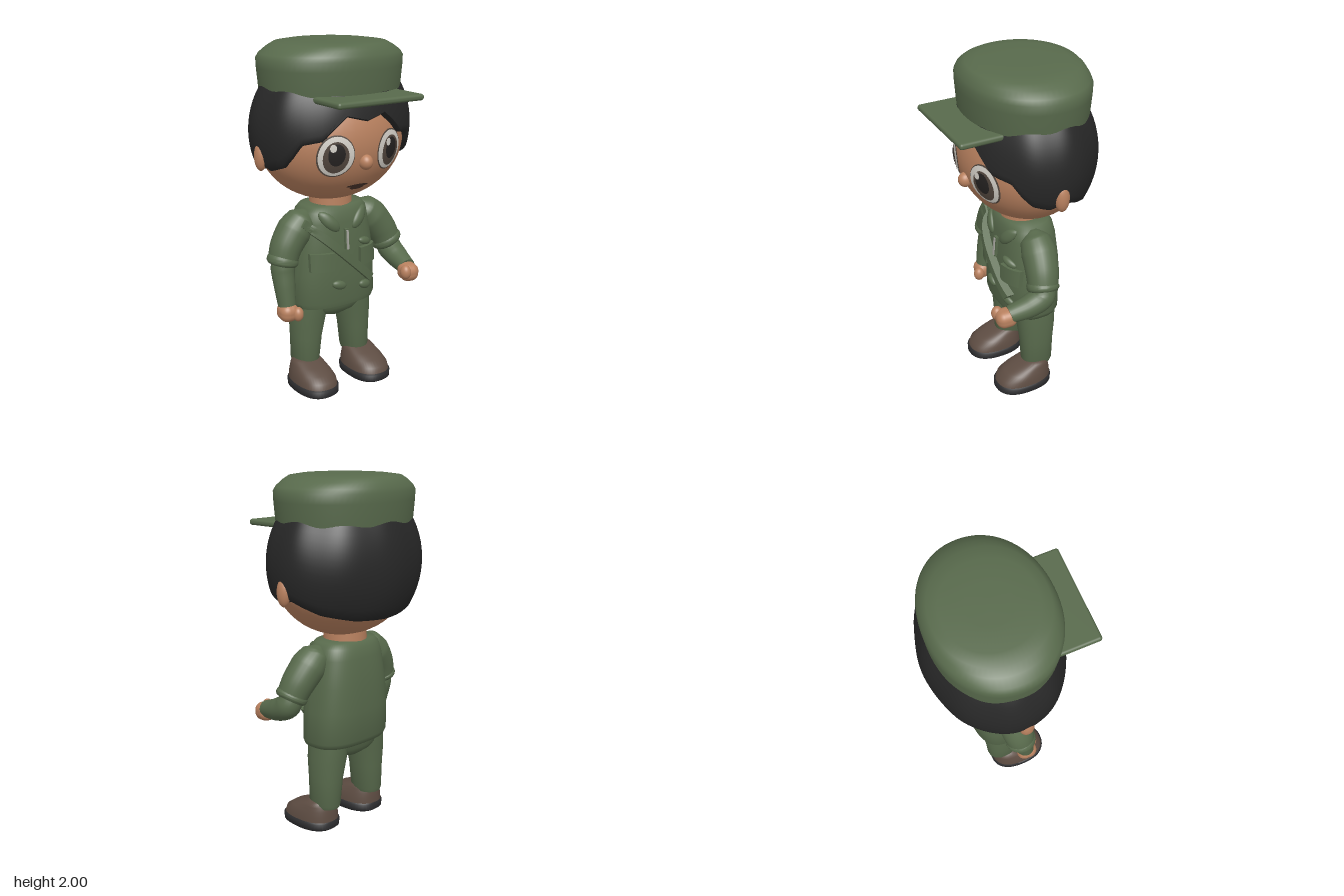
import * as THREE from 'three';
import { toCreasedNormals } from 'three/addons/utils/BufferGeometryUtils.js';
import { RoundedBoxGeometry } from 'three/addons/geometries/RoundedBoxGeometry.js';

const V = (x, y, z) => new THREE.Vector3(x, y, z);
const mat = (name, color) => Object.assign(new THREE.MeshStandardMaterial({ color }), { name });

// Piecewise linear lookup in rows of [key, values...]
function lookup(rows, key) {
  let i = 0;
  while (i < rows.length - 2 && key > rows[i + 1][0]) i++;
  const a = rows[i], b = rows[i + 1];
  const t = THREE.MathUtils.clamp((key - a[0]) / (b[0] - a[0]), 0, 1);
  return a.map((v, k) => v + (b[k] - v) * t);
}

// Skin over closed rings of points, listed from bottom to top
function loft(rings, crease = 0.9) {
  const n = rings[0].length, pos = [], idx = [];
  rings.forEach(r => r.forEach(p => pos.push(p.x, p.y, p.z)));
  for (let i = 0; i < rings.length - 1; i++) for (let j = 0; j < n; j++) {
    const a = i * n + j, b = i * n + (j + 1) % n;
    idx.push(a, b, b + n, a, b + n, a + n);
  }
  const g = new THREE.BufferGeometry();
  g.setAttribute('position', new THREE.Float32BufferAttribute(pos, 3));
  g.setIndex(idx);
  return toCreasedNormals(g, crease);
}

// Horizontal superellipse ring
function ring(cx, y, cz, rx, rz, power = 2, n = 48) {
  const e = 2 / power, f = v => Math.sign(v) * Math.abs(v) ** e;
  return Array.from({ length: n }, (_, j) => {
    const a = j / n * Math.PI * 2;
    return V(cx + rx * f(Math.cos(a)), y, cz - rz * f(Math.sin(a)));
  });
}

// Tapered tube through rows of [x, y, z, radius]
function limb(rows, steps = 24, n = 24) {
  const curve = new THREE.CatmullRomCurve3(rows.map(r => V(r[0], r[1], r[2])));
  const { normals, binormals } = curve.computeFrenetFrames(steps);
  const rings = [];
  for (let i = 0; i <= steps; i++) {
    const t = curve.getUtoTmapping(i / steps), c = curve.getPoint(t);
    const r = lookup(rows.map((q, k) => [k / (rows.length - 1), q[3]]), t)[1];
    rings.push(Array.from({ length: n }, (_, j) => {
      const a = j / n * Math.PI * 2;
      return c.clone().addScaledVector(normals[i], r * Math.cos(a)).addScaledVector(binormals[i], r * Math.sin(a));
    }));
  }
  const end = p => Array(n).fill(p);
  return loft([end(curve.getPoint(0)), ...rings, end(curve.getPoint(1))]);
}

function ball(x, y, z, rx, ry, rz) {
  return new THREE.SphereGeometry(1, 40, 28).scale(rx, ry, rz).translate(x, y, z);
}

// Pushes a flat geometry forward onto a front surface
function wrap(g, surface) {
  const p = g.attributes.position;
  for (let i = 0; i < p.count; i++) p.setZ(i, p.getZ(i) + surface(p.getX(i), p.getY(i)));
  g.computeVertexNormals();
  return g;
}

// Shirt sections: height, half width, half depth, centre z
const SHIRT = [[0.5, 0.255, 0.155, -0.055], [0.53, 0.268, 0.165, -0.058], [0.7, 0.26, 0.17, -0.06],
  [0.85, 0.245, 0.168, -0.06], [1, 0.22, 0.155, -0.058], [1.06, 0.205, 0.142, -0.056], [1.09, 0.18, 0.122, -0.055]];
const shirtZ = (x, y) => {
  const [, rx, rz, cz] = lookup(SHIRT, y);
  return cz + rz * (1 - Math.min(Math.abs(x / rx), 0.93) ** 2.7) ** (1 / 2.7);
};
const headZ = (x, y) => -0.05 + 0.345 * Math.sqrt(Math.max(0, 1 - (x / 0.43) ** 2 - ((y - 1.47) / 0.355) ** 2));

// Lower edge of the hair: degrees from the front, height
const HAIRLINE = [[0, 1.6], [15, 1.63], [24, 1.57], [32, 1.51], [47, 1.49], [55, 1.42], [64, 1.36],
  [80, 1.33], [95, 1.36], [120, 1.29], [150, 1.25], [180, 1.24]];

export function createModel() {
  const root = new THREE.Group();
  const green = mat('uniform green', 0x586a4c), skin = mat('skin', 0xb9815f), black = mat('hair black', 0x272727);
  const brown = mat('shoe brown', 0x5d4c42), dark = mat('sole dark', 0x2d2d2f), white = mat('eye white', 0xd6d2ca);
  const iris = mat('iris brown', 0x54483f), pupil = mat('pupil', 0x262322), lip = mat('mouth brown', 0x4b362d);
  const metal = mat('zip metal', 0xa4a49c);
  const add = (name, g, m, parent = root) => {
    const mesh = new THREE.Mesh(g, m);
    mesh.name = name;
    parent.add(mesh);
    return mesh;
  };

  // Head, nose, ears and neck
  add('head', ball(0, 1.47, -0.05, 0.43, 0.355, 0.345), skin);
  add('nose', ball(0, 1.38, 0.285, 0.038, 0.042, 0.042), skin);
  for (const s of [-1, 1]) add('ear', ball(s * 0.452, 1.405, -0.045, 0.034, 0.078, 0.04), skin);
  add('neck', new THREE.CylinderGeometry(0.12, 0.125, 0.14, 40).translate(0, 1.1, -0.055), skin);

  // Face details as thin layers on the head
  const spot = (name, x, y, rx, ry, lift, m) => add(name,
    wrap(new THREE.RingGeometry(0, 1, 40, 8).scale(rx, ry, 1).translate(x, y, lift), headZ), m);
  for (const s of [-1, 1]) {
    const x = s * 0.172;
    spot('eyeRim', x, 1.425, 0.099, 0.115, 0.003, iris);
    spot('eyeWhite', x, 1.425, 0.093, 0.108, 0.006, white);
    spot('iris', x + s * 0.004, 1.42, 0.067, 0.086, 0.009, iris);
    spot('pupil', x + s * 0.004, 1.435, 0.044, 0.06, 0.012, pupil);
    spot('eyeShine', x - 0.025, 1.473, 0.017, 0.021, 0.015, white);
  }
  spot('mouth', 0, 1.236, 0.07, 0.011, 0.006, lip);
  spot('lowerLip', 0, 1.223, 0.045, 0.012, 0.006, lip);

  // Hair shell with a shaped lower edge, tucked in to the head
  const hairRow = (t, tuck) => Array.from({ length: 144 }, (_, j) => {
    const a = j / 144 * Math.PI * 2, front = Math.sin(a) < 0;
    const deg = THREE.MathUtils.radToDeg(Math.acos(-Math.sin(a)));
    const y = THREE.MathUtils.lerp(lookup(HAIRLINE, deg)[1], 1.88, t);
    const wave = 1 + 0.018 * t * Math.sin(9 * a);
    const r = tuck * wave * Math.sqrt(1 - ((y - 1.52) / 0.47) ** 2);
    return V(0.478 * r * Math.cos(a), y, -0.05 - (front ? 0.36 : 0.383) * r * Math.sin(a));
  });
  const hairRings = [hairRow(0, 0.84), hairRow(0, 0.97)];
  for (let i = 0; i <= 14; i++) hairRings.push(hairRow(0.03 + 0.97 * i / 14, 1));
  add('hair', loft(hairRings), black);

  // Cap crown and peak
  const crown = [[1.69, 0.4, 0.32], [1.76, 0.408, 0.328], [1.86, 0.418, 0.334], [1.91, 0.42, 0.335], [1.935, 0.402, 0.327],
    [1.965, 0.355, 0.312], [1.987, 0.31, 0.29], [1.996, 0.24, 0.24], [2, 0.12, 0.12], [2, 0, 0]];
  add('capCrown', loft(crown.map(([y, rx, rz]) => ring(0, y, -0.055, rx, rz, 2.1, 72))), green);
  add('capPeak', new RoundedBoxGeometry(0.545, 0.034, 0.25, 4, 0.015).translate(0, 1.72, 0.306), green);

  // Shirt
  const shirt = SHIRT.map(([y, rx, rz, cz]) => ring(0, y, cz, rx, rz, 2.7, 64));
  shirt.unshift(ring(0, 0.495, -0.055, 0, 0, 2, 64), ring(0, 0.495, -0.055, 0.24, 0.14, 2.7, 64));
  shirt.push(ring(0, 1.095, -0.055, 0.12, 0.1, 2, 64), ring(0, 1.095, -0.055, 0, 0, 2, 64));
  add('shirt', loft(shirt), green);

  // Shirt details laid on the chest
  const panel = (name, x, y, w, h, d, turn, m = green) => add(name, toCreasedNormals(wrap(
    new THREE.BoxGeometry(w, h, d, 24, 4, 1).rotateZ(turn).translate(x, y, 0.004), shirtZ), 0.7), m);
  const oval = (name, x, y, rx, ry, turn, m = green) => add(name, wrap(
    new THREE.SphereGeometry(1, 28, 18).scale(rx, ry, 0.02).rotateZ(turn).translate(x, y, 0.004), shirtZ), m);
  for (const s of [-1, 1]) {
    oval('collarFlap', s * 0.1, 1.012, 0.075, 0.035, s * 0.8);
    panel('pocket', s * 0.153, 0.785, 0.13, 0.105, 0.04, 0);
  }
  panel('strap', -0.045, 0.835, 0.56, 0.046, 0.08, -0.74);
  panel('placket', 0, 0.9, 0.026, 0.125, 0.02, 0);
  panel('zip', 0, 0.9, 0.012, 0.11, 0.034, 0, metal);
  oval('button', 0.135, 0.865, 0.05, 0.022, -0.3);
  oval('button', -0.05, 0.635, 0.047, 0.026, -0.3);
  oval('button', 0.135, 0.6, 0.047, 0.026, -0.3);

  // Hips and trouser legs
  const hips = [[0.405, 0, 0], [0.41, 0.06, 0.07], [0.44, 0.16, 0.11], [0.47, 0.22, 0.125], [0.52, 0.25, 0.135]];
  add('hips', loft(hips.map(([y, rx, rz]) => ring(0, y, -0.065, rx, rz, 2.3))), green);
  for (const s of [-1, 1]) {
    const leg = [[0.13, 0.175, 0, 0], [0.13, 0.175, 0.07, 0.088], [0.15, 0.175, 0.077, 0.094], [0.3, 0.168, 0.088, 0.1],
      [0.42, 0.157, 0.102, 0.113], [0.52, 0.145, 0.105, 0.12]];
    add('trouserLeg', loft(leg.map(([y, x, rx, rz]) => ring(s * x, y, -0.066, rx, rz, 2.2))), green);

    // Shoe: height, half width, heel z, toe z
    const shoeRing = ([y, w, z0, z1]) => ring(s * 0.185, y, (z0 + z1) / 2, w, (z1 - z0) / 2, 2.4);
    add('shoeSole', loft([[0, 0, 0.035, 0.035], [0, 0.11, -0.125, 0.195], [0.012, 0.124, -0.14, 0.21],
      [0.045, 0.125, -0.14, 0.21], [0.055, 0.117, -0.133, 0.2], [0.055, 0, 0.035, 0.035]].map(shoeRing)), dark);
    add('shoeUpper', loft([[0.05, 0.118, -0.135, 0.203], [0.085, 0.115, -0.132, 0.19], [0.115, 0.104, -0.128, 0.145],
      [0.14, 0.093, -0.122, 0.085], [0.16, 0.083, -0.11, 0.03], [0.168, 0.07, -0.09, 0.01], [0.17, 0, -0.04, -0.04]]
      .map(shoeRing), 1.2), brown);
  }

  // Arms: the right one hangs, the left one bends forward
  const arm = (name, sleeve, cuff, forearm, fist, thumb, turn) => {
    const g = new THREE.Group();
    g.name = name;
    root.add(g);
    add('sleeve', limb(sleeve), green, g);
    add('cuff', limb(cuff, 8), green, g);
    add('forearm', limb(forearm), green, g);
    const hand = add('fist', new RoundedBoxGeometry(0.11, 0.105, 0.12, 5, 0.046), skin, g);
    hand.position.set(...fist);
    hand.rotation.set(...turn);
    add('thumb', ball(...thumb, 0.031, 0.042, 0.033), skin, g);
  };
  arm('rightArm',
    [[-0.17, 1.06, -0.03, 0.03], [-0.205, 1.02, -0.03, 0.085], [-0.26, 0.96, -0.03, 0.1], [-0.315, 0.88, -0.025, 0.092], [-0.343, 0.8, -0.02, 0.083]],
    [[-0.335, 0.825, -0.021, 0.083], [-0.34, 0.812, -0.02, 0.09], [-0.345, 0.795, -0.02, 0.09], [-0.348, 0.783, -0.02, 0.08]],
    [[-0.335, 0.84, -0.02, 0.06], [-0.343, 0.76, -0.02, 0.068], [-0.345, 0.66, 0, 0.06], [-0.343, 0.55, 0.02, 0.051]],
    [-0.343, 0.512, 0.025], [-0.305, 0.505, 0.075], [0.1, 0, 0]);
  arm('leftArm',
    [[0.17, 1.06, -0.03, 0.03], [0.205, 1.02, -0.03, 0.085], [0.26, 0.965, -0.025, 0.1], [0.325, 0.88, -0.01, 0.093], [0.362, 0.805, 0.005, 0.084]],
    [[0.35, 0.832, 0, 0.083], [0.356, 0.818, 0.003, 0.091], [0.364, 0.802, 0.006, 0.091], [0.37, 0.79, 0.008, 0.08]],
    [[0.355, 0.83, 0, 0.06], [0.375, 0.76, 0.015, 0.072], [0.375, 0.72, 0.09, 0.066], [0.36, 0.69, 0.21, 0.05]],
    [0.352, 0.672, 0.228], [0.308, 0.685, 0.262], [0.1, -0.15, 0]);

  return root;
}
